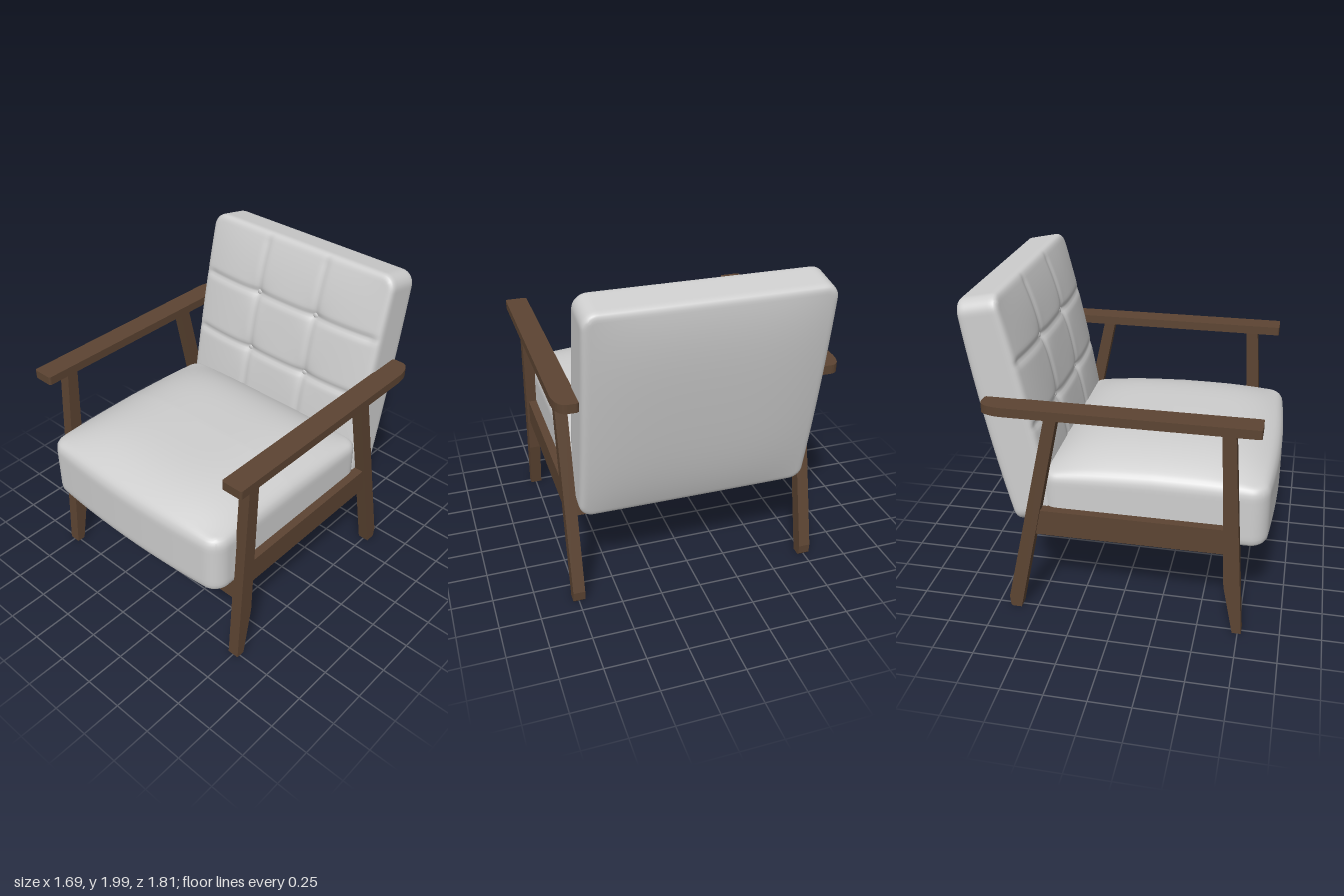
import * as THREE from 'three';
import { mergeVertices } from 'three/addons/utils/BufferGeometryUtils.js';

const wood = new THREE.MeshStandardMaterial({ color: 0x5c4432 });
wood.name = 'walnut wood';
const fabric = new THREE.MeshStandardMaterial({ color: 0xcecece });
fabric.name = 'light grey fabric';

function add(parent, name, geometry, material) {
  const mesh = new THREE.Mesh(geometry, material);
  mesh.name = name;
  parent.add(mesh);
  return mesh;
}

// Rounded pad (half sizes a, b, c): corner radius R in plan, edge radius r, then bent by warp(point)
function pad(a, b, c, R, r, warp) {
  let g = new THREE.BoxGeometry(2 * a, 2 * b, 2 * c, 88, 88, 14);
  const pos = g.attributes.position;
  const p = new THREE.Vector3();
  for (let i = 0; i < pos.count; i++) {
    p.fromBufferAttribute(pos, i);
    const qx = THREE.MathUtils.clamp(p.x, R - a, a - R);
    const qy = THREE.MathUtils.clamp(p.y, R - b, b - R);
    let dx = p.x - qx, dy = p.y - qy;
    const reach = Math.max(Math.abs(dx), Math.abs(dy));
    const len = Math.hypot(dx, dy);
    if (len > 1e-9) {
      // round the plan corner, then the edge
      const u = Math.max(0, reach - (R - r));
      const v = Math.max(0, Math.abs(p.z) - (c - r));
      const k = u > 0 && v > 0 ? Math.max(u, v) / Math.hypot(u, v) : 1;
      const out = (reach - u + u * k) / len;
      dx *= out;
      dy *= out;
      if (v > 0) p.z = Math.sign(p.z) * (c - r + v * k);
    }
    p.x = qx + dx;
    p.y = qy + dy;
    warp(p);
    pos.setXYZ(i, p.x, p.y, p.z);
  }
  g.deleteAttribute('uv');
  g.deleteAttribute('normal');
  g = mergeVertices(g, 1e-5);
  g.computeVertexNormals();
  return g;
}

// Seat: domed top, bowed front, hollow underside
const SEAT = { a: 0.718, b: 0.67, c: 0.19 };
function warpSeat(p) {
  const u = p.x / SEAT.a, v = p.y / SEAT.b, w = p.z / SEAT.c;
  const dome = Math.max(0, 1 - u ** 4) * Math.max(0, 1 - v ** 4);
  let y = 0.762 + p.z;
  if (w > 0) y += w * (0.13 * dome - 0.025 * Math.max(0, v));
  else {
    const hollow = 1 - THREE.MathUtils.smoothstep(Math.max(Math.abs(u), Math.abs(v)), 0.45, 0.7);
    y += -w * 0.1 * hollow;
  }
  const z = 0.205 - p.y + 0.04 * (1 - u * u) * Math.max(0, -v);
  p.set(p.x, y, z);
}

// Backrest: leaning, plump, tufted on the front
const BACK = { a: 0.71, b: 0.693, c: 0.115 };
const TUFT_X = [-0.23, 0.23], TUFT_Y = [0.302, -0.083];
function warpBack(p) {
  const u = p.x / BACK.a, v = p.y / BACK.b, w = p.z / BACK.c;
  const dome = Math.max(0, 1 - u ** 4) * Math.max(0, 1 - v ** 4);
  let z = p.z + w * (0.02 * (1 - v * v) + 0.035 * dome);
  if (w > 0) {
    const crease = (d) => Math.exp(-((d / 0.022) ** 2));
    let depth = 0;
    for (const x of TUFT_X) depth = Math.max(depth, 0.009 * crease(p.x - x));
    for (const y of TUFT_Y) depth = Math.max(depth, 0.014 * crease(p.y - y));
    for (const x of TUFT_X) for (const y of TUFT_Y) {
      depth += 0.028 * Math.exp(-Math.hypot(p.x - x, p.y - y) / 0.045);
    }
    z -= w * depth * Math.min(1, dome * 3);
  }
  p.set(p.x, 1.285 + p.y + 0.2 * p.z, z - 0.642 - 0.2 * p.y);
}

// Side-view outline of [z, y] points, extruded from x0 to x1
function sideProfile(points, x0, x1) {
  const shape = new THREE.Shape(points.map(([z, y]) => new THREE.Vector2(z, y)));
  const g = new THREE.ExtrudeGeometry(shape, { depth: x1 - x0, bevelEnabled: false });
  return g.rotateY(-Math.PI / 2).translate(x1, 0, 0);
}

// Armrest plank with a rounded outer rear corner; s is the side
function armrest(s) {
  const shape = new THREE.Shape();
  shape.moveTo(s * 0.72, -0.825);
  shape.lineTo(s * 0.83, -0.825);
  shape.quadraticCurveTo(s * 0.845, -0.825, s * 0.845, -0.81);
  shape.lineTo(s * 0.845, 0.63);
  shape.quadraticCurveTo(s * 0.835, 0.755, s * 0.775, 0.757);
  shape.lineTo(s * 0.73, 0.757);
  shape.quadraticCurveTo(s * 0.706, 0.755, s * 0.706, 0.73);
  shape.lineTo(s * 0.706, -0.81);
  shape.quadraticCurveTo(s * 0.706, -0.825, s * 0.72, -0.825);
  const g = new THREE.ExtrudeGeometry(shape, { depth: 0.055, bevelEnabled: false, curveSegments: 8 });
  return g.rotateX(-Math.PI / 2).translate(0, 1.353, 0);
}

const FRONT_LEG = [[0.717, 0], [0.772, 0], [0.682, 1.36], [0.607, 1.36], [0.653, 0.333]];
const BACK_LEG = [[-0.6, 0], [-0.315, 1.36], [-0.388, 1.36], [-0.674, 0.07], [-0.668, 0.01], [-0.66, 0]];
const SIDE_RAIL = [[-0.51, 0.55], [0.66, 0.55], [0.65, 0.715], [-0.47, 0.715]];
const FRONT_RAIL = [[0.66, 0.42], [0.715, 0.42], [0.705, 0.6], [0.65, 0.6]];
const BACK_RAIL = [[-0.555, 0.55], [-0.5, 0.55], [-0.475, 0.67], [-0.53, 0.67]];

export function createModel() {
  const chair = new THREE.Group();
  chair.name = 'armchair';

  // Wooden frame
  const frame = new THREE.Group();
  frame.name = 'frame';
  chair.add(frame);
  for (const s of [1, -1]) {
    const side = s > 0 ? 'left' : 'right';
    const span = (inner, outer) => (s > 0 ? [inner, outer] : [-outer, -inner]);
    add(frame, side + 'FrontLeg', sideProfile(FRONT_LEG, ...span(0.712, 0.785)), wood);
    add(frame, side + 'BackLeg', sideProfile(BACK_LEG, ...span(0.712, 0.785)), wood);
    add(frame, side + 'Rail', sideProfile(SIDE_RAIL, ...span(0.7, 0.77)), wood);
    add(frame, side + 'Armrest', armrest(s), wood);
  }
  add(frame, 'frontRail', sideProfile(FRONT_RAIL, -0.715, 0.715), wood);
  add(frame, 'backRail', sideProfile(BACK_RAIL, -0.715, 0.715), wood);

  // Upholstery
  add(chair, 'seatCushion', pad(SEAT.a, SEAT.b, SEAT.c, 0.1, 0.045, warpSeat), fabric);
  const back = new THREE.Group();
  back.name = 'backrest';
  chair.add(back);
  add(back, 'backCushion', pad(BACK.a, BACK.b, BACK.c, 0.085, 0.03, warpBack), fabric);
  for (const x of TUFT_X) for (const y of TUFT_Y) {
    const p = new THREE.Vector3(x, y, BACK.c);
    warpBack(p);
    const button = add(back, 'tuftButton', new THREE.SphereGeometry(0.024, 16, 12), fabric);
    button.position.copy(p);
    button.scale.z = 0.7;
  }
  return chair;
}
